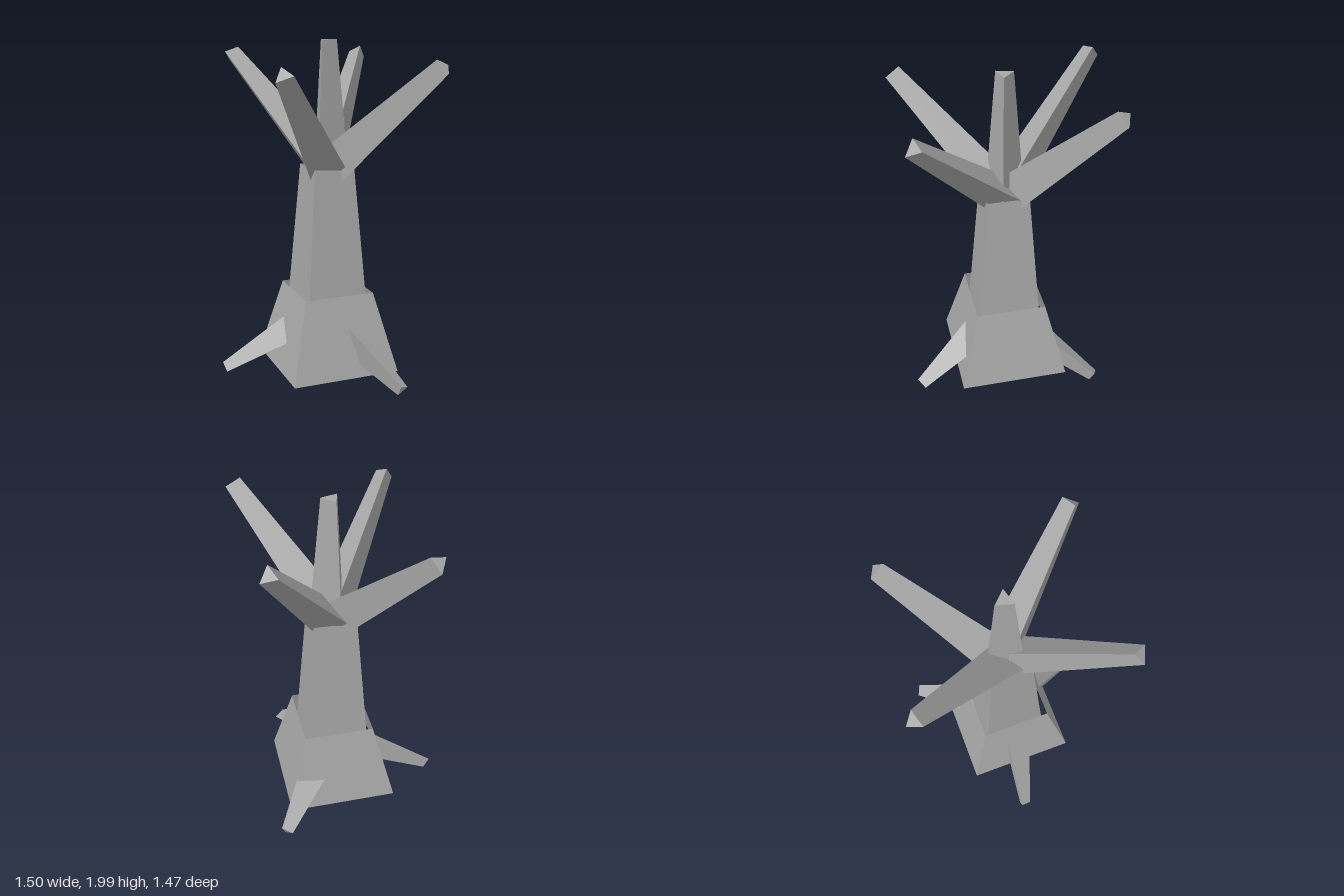
import * as THREE from 'three';

export function createModel() {
  const tree = new THREE.Group();
  tree.name = 'bareTree';
  const bark = new THREE.MeshStandardMaterial({ color: 0xa8a8a8, flatShading: true, side: THREE.DoubleSide });
  bark.name = 'greyBark';

  const add = (name, geometry) => {
    const mesh = new THREE.Mesh(geometry, bark);
    mesh.name = name;
    tree.add(mesh);
    return mesh;
  };

  // Open four-sided tube with its corners on the x and z axes
  const tube = (name, y0, r0, y1, r1) => {
    const g = new THREE.CylinderGeometry(r1, r0, y1 - y0, 4, 1, true);
    add(name, g).position.set(0, (y0 + y1) / 2, -0.015);
  };

  // Tapered three-sided limb from base to tip; apex is the side one corner points to
  const limb = (name, base, r0, tip, r1, apex) => {
    const a = new THREE.Vector3(...base), b = new THREE.Vector3(...tip);
    const axis = b.clone().sub(a), length = axis.length();
    axis.normalize();
    const z = new THREE.Vector3(...apex);
    z.addScaledVector(axis, -z.dot(axis)).normalize();
    const x = new THREE.Vector3().crossVectors(axis, z);
    const g = new THREE.CylinderGeometry(r1, r0, length, 3);
    g.applyMatrix4(new THREE.Matrix4().makeBasis(x, axis, z));
    add(name, g).position.copy(a.add(b).multiplyScalar(0.5));
  };

  tube('trunk', 0.04, 0.3, 1.265, 0.174);
  tube('trunkFlare', 0.04, 0.465, 0.515, 0.3);

  // Branches
  const branches = [
    ['centreBranch', [0, 1.25, -0.015], [0, 2, -0.015], [0, 0, 1]],
    ['rightBranch', [-0.03, 1.25, -0.005], [-0.715, 1.905, -0.163], [0, 0, 1]],
    ['leftBranch', [0.03, 1.253, -0.023], [0.717, 1.87, 0.053], [0, 0, -1]],
    ['backBranch', [-0.02, 1.25, -0.045], [-0.075, 1.9, -0.697], [-1, 0, 0]],
    ['frontBranch', [0.015, 1.25, 0.015], [0.072, 1.847, 0.7], [1, 0, 0]],
  ];
  for (const [name, base, tip, apex] of branches) limb(name, base, 0.127, tip, 0.058, apex);

  // Roots
  const roots = [
    ['rightRoot', [-0.1, 0.29, 0.08], [-0.505, 0.04, 0.358], [0, -1, -1]],
    ['leftRoot', [0.13, 0.29, 0.04], [0.575, 0.042, 0.225], [0.3, 0.2, -1]],
    ['backRoot', [-0.01, 0.29, -0.15], [-0.07, 0.045, -0.64], [0.5, -0.9, 0.25]],
  ];
  for (const [name, base, tip, apex] of roots) limb(name, base, 0.12, tip, 0.042, apex);

  return tree;
}
